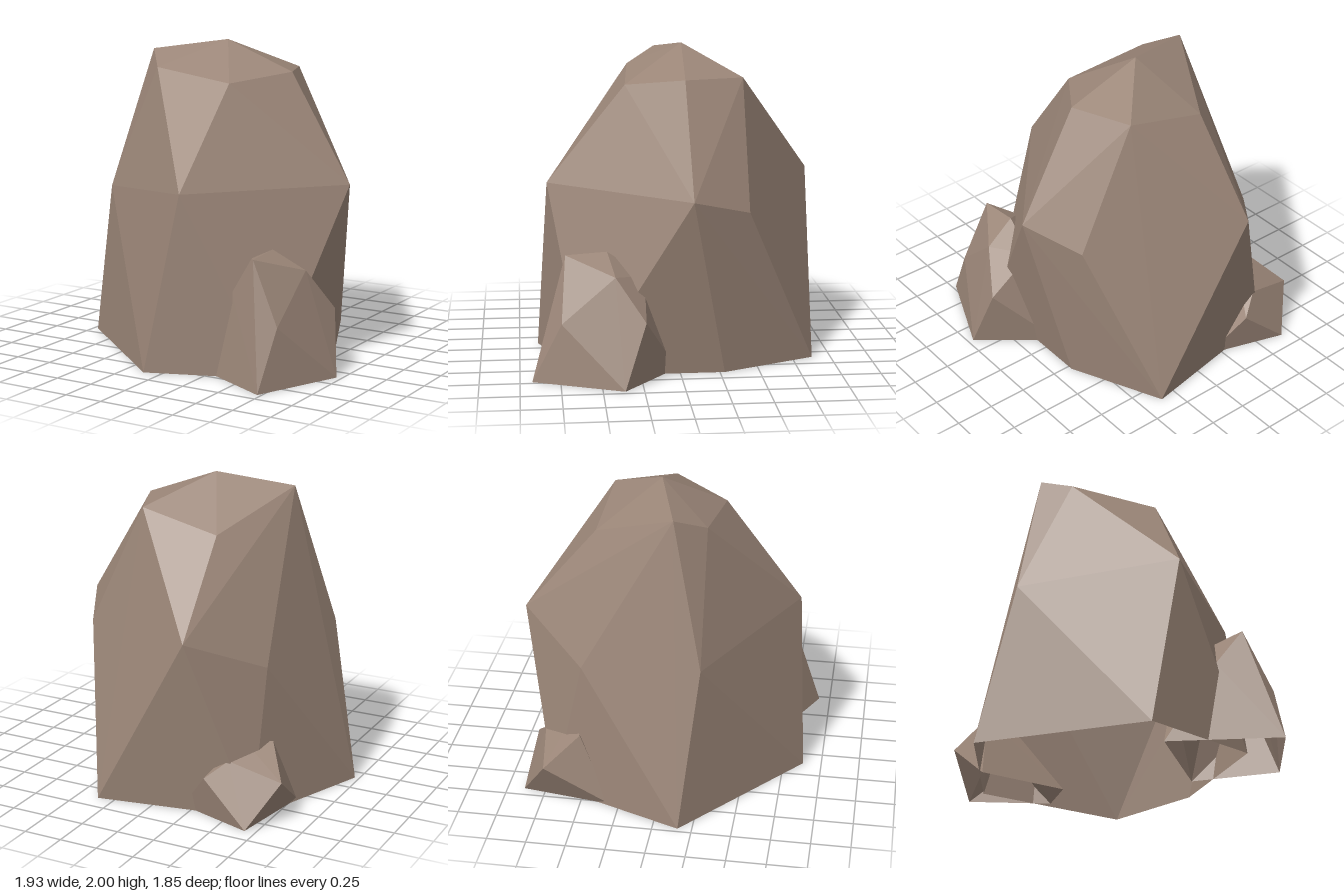
import * as THREE from 'three';
import { ConvexGeometry } from 'three/addons/geometries/ConvexGeometry.js';

const stone = new THREE.MeshStandardMaterial({
  color: 0x9a8577, flatShading: true, side: THREE.DoubleSide,
});
stone.name = 'brown stone';

// A faceted boulder: the hull around its corner points, hollow and open at the ground
function boulder(name, corners) {
  const hull = new ConvexGeometry(corners.map(([x, y, z]) => new THREE.Vector3(x, y, z)));
  const pos = hull.attributes.position;
  const kept = [];
  for (let i = 0; i < pos.count; i += 3) {
    const grounded = [0, 1, 2].every((k) => pos.getY(i + k) < 0.001);
    if (!grounded) kept.push(...pos.array.slice(i * 3, i * 3 + 9));
  }
  const shell = new THREE.BufferGeometry();
  shell.setAttribute('position', new THREE.Float32BufferAttribute(kept, 3));
  shell.computeVertexNormals();
  const mesh = new THREE.Mesh(shell, stone);
  mesh.name = name;
  return mesh;
}

export function createModel() {
  const group = new THREE.Group();
  group.name = 'rockCluster';

  group.add(boulder('largeBoulder', [
    // footprint
    [-0.97, 0, 0.16], [-0.115, 0, 0.88], [0.63, 0, 0.6],
    [0.63, 0, -0.28], [0.36, 0, -0.88], [-0.64, 0, -0.7],
    // girdle
    [-0.76, 1.03, 0.27], [0.11, 1.13, 0.81], [0.825, 1.125, -0.065],
    [0.64, 1.02, -0.43], [-0.28, 1.14, -0.925], [-0.64, 0.92, -0.5],
    // crown
    [0.165, 1.76, 0.31], [0.415, 1.815, -0.05], [0.26, 1.81, -0.43],
    [-0.27, 1.7, -0.46], [-0.55, 1.93, 0.07], [-0.4, 1.83, 0.26],
    [-0.07, 2, -0.07],
  ]));

  group.add(boulder('mediumBoulder', [
    // footprint
    [0.725, 0, 0.925], [0.965, 0, 0.365], [0.52, 0, 0.01], [0.08, 0, 0.6],
    // sides
    [0.755, 0.37, 0.74], [0.88, 0.4, 0.23], [0.4, 0.53, 0.67], [0.25, 0.45, 0.35],
    // crown
    [0.57, 0.76, 0.71], [0.56, 0.775, 0.45], [0.77, 0.66, 0.41],
    [0.45, 0.72, 0.52], [0.58, 0.62, 0.22],
  ]));

  group.add(boulder('smallBoulder', [
    // footprint
    [-0.68, 0, -0.89], [-0.77, 0, -0.31], [-0.19, 0, -0.43], [-0.17, 0, -0.73],
    // sides and crown
    [-0.845, 0.28, -0.72], [-0.38, 0.27, -0.85],
    [-0.51, 0.38, -0.77], [-0.69, 0.45, -0.51], [-0.52, 0.47, -0.6],
  ]));

  return group;
}
